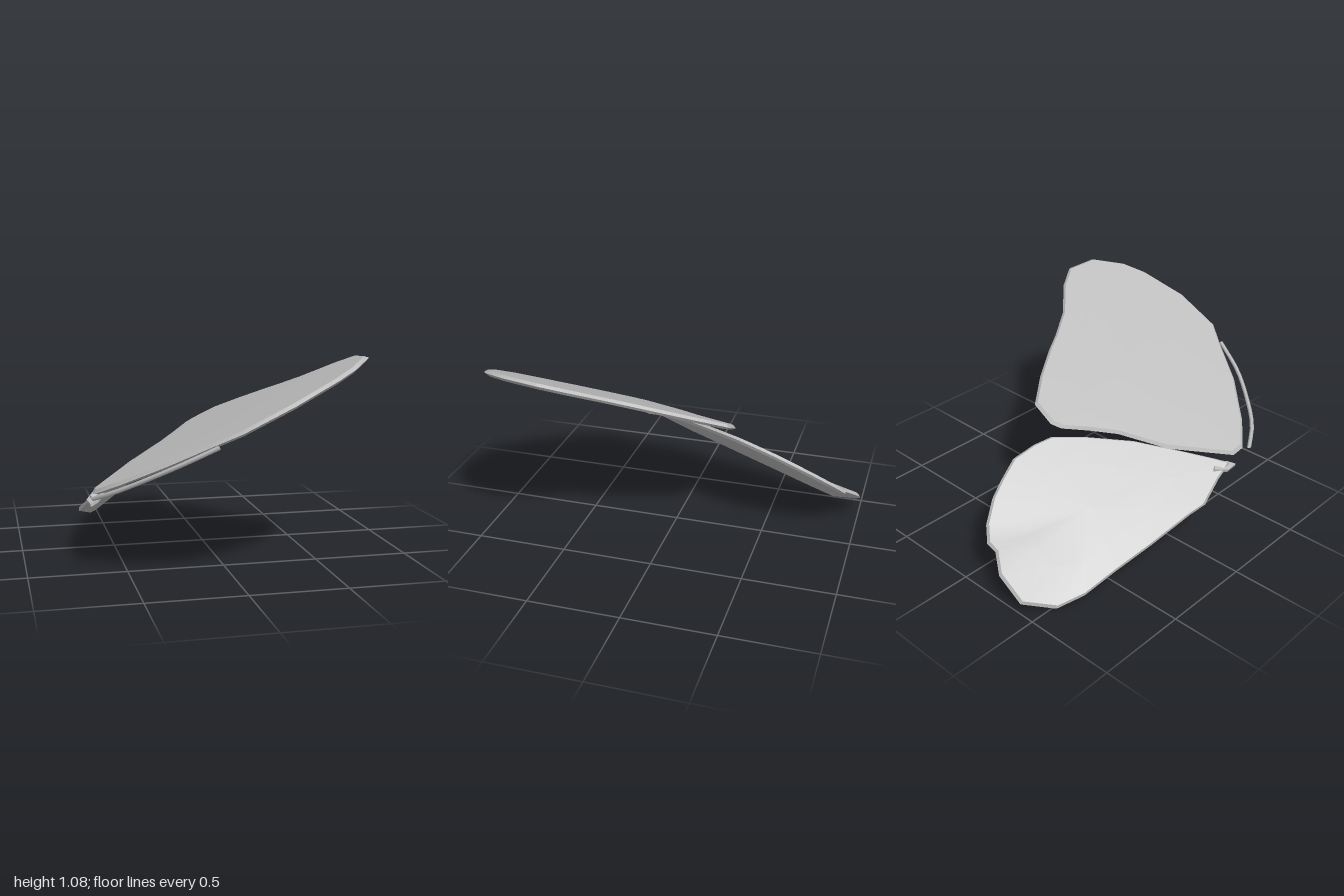
import * as THREE from 'three';
import { toCreasedNormals } from 'three/addons/utils/BufferGeometryUtils.js';

// Thin wing slab: an outline [x, z, lift] laid on the plane y = a + bx + cz,
// closed by concentric rings with a bevelled rim.
function wingGeometry(outline, [a, b, c], half) {
  const n = outline.length;
  const cx = outline.reduce((s, p) => s + p[0], 0) / n;
  const cz = outline.reduce((s, p) => s + p[1], 0) / n;
  const normal = new THREE.Vector3(-b, 1, -c).normalize();
  const rings = [[0, -1], [0.6, -1], [0.965, -0.8], [1, -0.1], [0.975, 0.8], [0.6, 1], [0, 1]];
  const at = (r, i) => {
    const [s, h] = rings[r];
    const [px, pz, lift = 0] = outline[i % n];
    const x = cx + (px - cx) * s, z = cz + (pz - cz) * s;
    return new THREE.Vector3(x, a + b * x + c * z + lift * s * s, z).addScaledVector(normal, h * half);
  };
  const pos = [];
  const tri = (...v) => v.forEach(p => pos.push(p.x, p.y, p.z));
  for (let r = 0; r < rings.length - 1; r++) {
    for (let i = 0; i < n; i++) {
      const p = at(r, i), q = at(r, i + 1), u = at(r + 1, i), v = at(r + 1, i + 1);
      if (rings[r][0] > 0) tri(p, u, q);
      if (rings[r + 1][0] > 0) tri(q, u, v);
    }
  }
  // Cap fans have one collapsed side, so their remaining triangles close the slab
  const geo = new THREE.BufferGeometry();
  geo.setAttribute('position', new THREE.Float32BufferAttribute(pos, 3));
  return toCreasedNormals(geo, 0.5);
}

export function createModel() {
  const group = new THREE.Group();
  const grey = new THREE.MeshStandardMaterial({ color: 0xbcbcbc, side: THREE.DoubleSide });
  grey.name = 'wing grey';
  const add = (name, geo) => {
    const mesh = new THREE.Mesh(geo, grey);
    mesh.name = name;
    group.add(mesh);
  };

  // Upper front wing
  const forePlane = [0.655, 0.48, 0.12];
  add('forewing', wingGeometry([
    [0.02, -0.34], [0.15, -0.33], [0.26, -0.18], [0.36, -0.01], [0.41, 0.09], [0.5, 0.24],
    [0.64, 0.39], [0.71, 0.51], [0.69, 0.69], [0.57, 0.84], [0.46, 0.91], [0.22, 0.99],
    [-0.03, 0.99], [-0.15, 0.91], [-0.35, 0.79], [-0.55, 0.61], [-0.66, 0.47], [-0.66, 0.39],
    [-0.43, 0.1], [-0.22, -0.07], [-0.12, -0.19], [-0.03, -0.31],
  ], forePlane, 0.018));

  // Lower rear wing
  add('hindwing', wingGeometry([
    [-0.42, -1, 0.05], [-0.27, -1, 0.04], [-0.18, -0.94, 0.02], [-0.12, -0.94], [-0.06, -0.89],
    [0, -0.79], [0.03, -0.7], [0.06, -0.58], [0.04, -0.45], [0.01, -0.35], [-0.1, -0.2],
    [-0.27, 0], [-0.47, 0.19], [-0.6, 0.31], [-0.66, 0.36], [-0.67, 0.25], [-0.7, 0.1],
    [-0.68, 0], [-0.64, -0.27], [-0.6, -0.5], [-0.57, -0.7], [-0.52, -0.85],
  ], [0.675, 0.7, 0.375], 0.018));

  // Loose sliver following the leading edge
  const edge = [[-0.67, 0.52], [-0.59, 0.65], [-0.47, 0.76], [-0.31, 0.87], [-0.13, 0.94]]
    .map(([x, z]) => new THREE.Vector3(x, forePlane[0] + forePlane[1] * x + forePlane[2] * z - 0.015, z));
  add('leadingEdge', new THREE.TubeGeometry(new THREE.CatmullRomCurve3(edge), 12, 0.012, 5));

  // Small root joining the two wings
  add('wingRoot', wingGeometry([
    [-0.64, 0.24], [-0.59, 0.3], [-0.63, 0.37], [-0.67, 0.4], [-0.68, 0.32],
  ], [0.56, 0.3, -0.1], 0.012));

  return group;
}
